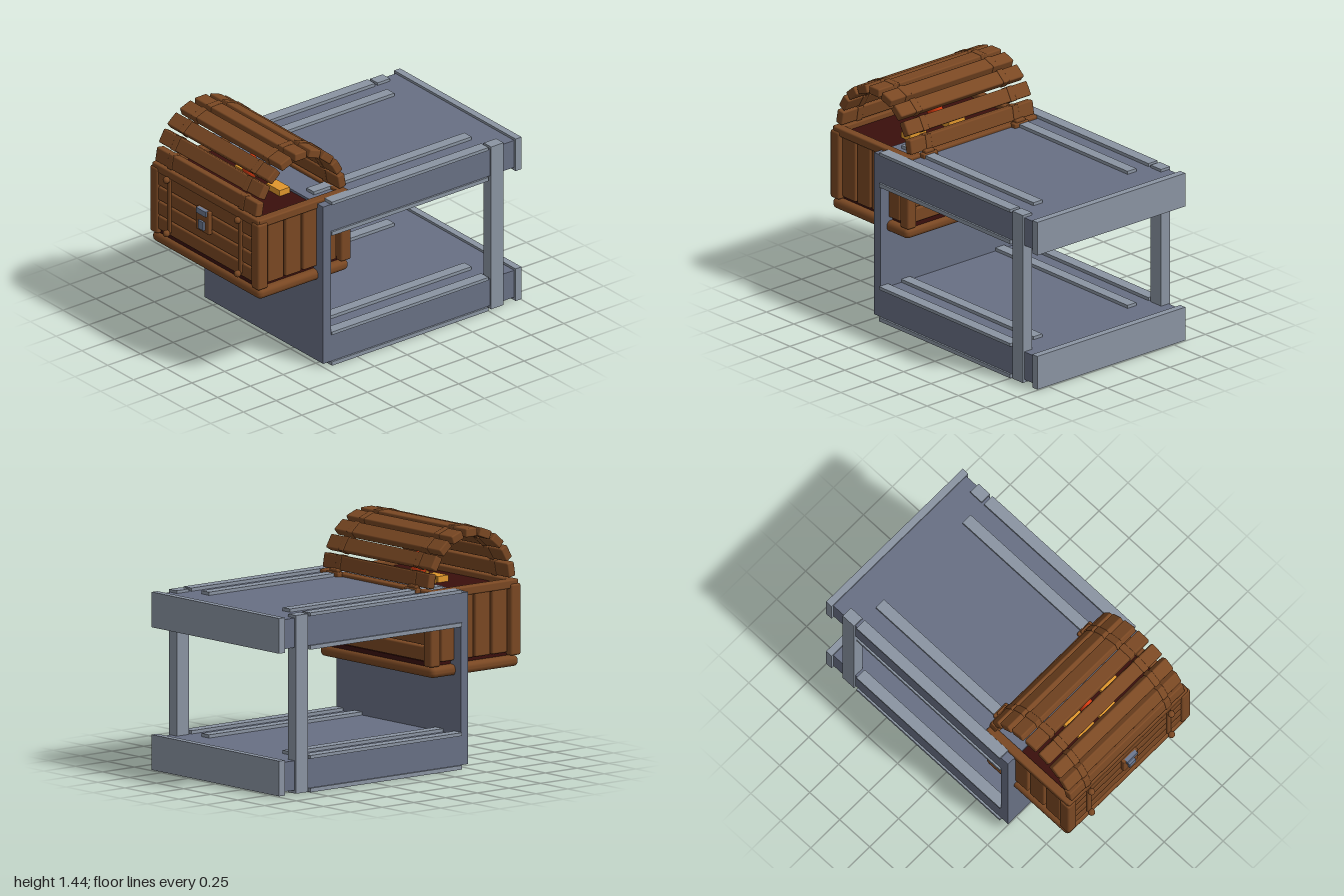
import * as THREE from 'three';
import { RoundedBoxGeometry } from 'three/addons/geometries/RoundedBoxGeometry.js';

const mat = (name, color) => new THREE.MeshStandardMaterial({ name, color });

export function createModel() {
  const M = {
    wood: mat('brown wood', 0x7a4823),
    deck: mat('slate blue', 0x687084),
    trim: mat('light grey', 0x8a94a2),
    dark: mat('dark maroon', 0x3a0f0c),
    metal: mat('lock steel', 0x6c7890),
    red: mat('red', 0xd83a10),
    gold: mat('gold', 0xe0962c),
  };
  const model = new THREE.Group();
  const stand = new THREE.Group();
  stand.name = 'stand';
  const chest = new THREE.Group();
  chest.name = 'chest';
  model.add(stand, chest);

  // Box given by its limits; r rounds the edges
  function box(parent, name, material, x0, x1, y0, y1, z0, z1, r = 0) {
    const w = x1 - x0, h = y1 - y0, d = z1 - z0;
    const geo = r ? new RoundedBoxGeometry(w, h, d, 2, r) : new THREE.BoxGeometry(w, h, d);
    const mesh = new THREE.Mesh(geo, material);
    mesh.name = name;
    mesh.position.set((x0 + x1) / 2, (y0 + y1) / 2, (z0 + z1) / 2);
    parent.add(mesh);
    return mesh;
  }
  // The same box on both sides
  function pair(parent, name, material, x0, x1, ...rest) {
    box(parent, name + 'Left', material, x0, x1, ...rest);
    box(parent, name + 'Right', material, -x1, -x0, ...rest);
  }

  // Two decks with trim strips above and below, and a bar across the back
  for (const [name, y] of [['lower', 0.03], ['upper', 0.9]]) {
    const top = y + 0.18;
    box(stand, name + 'Deck', M.deck, -0.575, 0.575, y, top, -0.955, 0.45);
    box(stand, name + 'BackBar', M.trim, -0.59, 0.59, y - 0.02, top + 0.015, -1, -0.955);
    for (const [a, b] of [[y - 0.025, y], [top, top + 0.02]]) {
      pair(stand, name + 'EdgeStrip', M.trim, 0.515, 0.587, a, b, -0.75, 0.445);
      pair(stand, name + 'DeckStrip', M.trim, 0.34, 0.41, a, b, -0.76, 0.445);
    }
  }
  pair(stand, 'backPost', M.trim, 0.515, 0.587, 0.01, 1.097, -0.865, -0.77);
  box(stand, 'frontPanel', M.deck, -0.575, 0.575, 0.03, 1.08, 0.445, 0.503);

  // Chest base and dark linings
  box(chest, 'base', M.wood, -0.525, 0.525, 0.568, 0.636, 0.262, 0.952, 0.03);
  box(chest, 'floor', M.dark, -0.48, 0.48, 0.634, 0.662, 0.28, 0.93);
  box(chest, 'mouth', M.dark, -0.475, 0.475, 1.05, 1.065, 0.29, 0.91);

  // Corner posts
  for (const [z0, z1] of [[0.25, 0.328], [0.884, 0.962]]) {
    pair(chest, 'cornerPost', M.wood, 0.455, 0.528, 0.637, 1.075, z0, z1, 0.014);
  }
  // Front and back planks, and the rim
  for (const z of [0.262, 0.898]) {
    for (let i = 0; i < 4; i++) {
      const y = 0.667 + i * 0.098;
      box(chest, 'wallPlank', M.wood, -0.47, 0.47, y, y + 0.09, z, z + 0.052, 0.01);
    }
    box(chest, 'rim', M.wood, -0.515, 0.515, 1.046, 1.1, z - 0.004, z + 0.056, 0.01);
  }
  pair(chest, 'sideRim', M.wood, 0.46, 0.518, 1.046, 1.1, 0.27, 0.945, 0.01);
  // Side planks
  for (let i = 0; i < 4; i++) {
    const z = 0.349 + i * 0.134;
    pair(chest, 'sidePlank', M.wood, 0.46, 0.51, 0.66, 1.05, z, z + 0.12, 0.01);
  }

  // Arched lid of nine planks, with straps
  for (let i = -4; i <= 4; i++) {
    const a = THREE.MathUtils.degToRad(i * 20);
    const plank = new THREE.Group();
    plank.name = 'lidPlank';
    plank.position.set(0, 1.1 + 0.318 * Math.cos(a), 0.605 + 0.318 * Math.sin(a));
    plank.rotation.x = a;
    box(plank, 'plank', M.wood, -0.49, 0.49, -0.027, 0.027, -0.045, 0.045, 0.009);
    pair(plank, 'strap', M.wood, 0.325, 0.37, -0.031, 0.031, -0.048, 0.048, 0.006);
    chest.add(plank);
  }

  // Front straps with round studs, and the hinges behind
  pair(chest, 'frontStrap', M.wood, 0.328, 0.362, 0.69, 1.05, 0.945, 0.964, 0.008);
  pair(chest, 'hinge', M.wood, 0.305, 0.42, 1.075, 1.108, 0.225, 0.27, 0.008);
  pair(chest, 'hingeKnuckle', M.wood, 0.325, 0.4, 1.09, 1.125, 0.235, 0.275, 0.008);
  for (const x of [-0.345, 0.345]) {
    for (const y of [0.69, 1.048]) {
      const stud = new THREE.Mesh(new THREE.SphereGeometry(0.022, 16, 10), M.wood);
      stud.name = 'stud';
      stud.position.set(x, y, 0.977);
      chest.add(stud);
    }
  }

  // Lock
  box(chest, 'lockPlate', M.wood, -0.063, 0.063, 0.835, 0.985, 0.945, 0.975, 0.006);
  box(chest, 'lockHasp', M.metal, -0.045, 0.045, 0.952, 0.987, 0.96, 0.986);
  box(chest, 'lockBody', M.metal, -0.026, 0.026, 0.855, 0.91, 0.96, 0.988);

  // Treasure
  const gem = new THREE.Mesh(new THREE.SphereGeometry(1, 24, 16), M.red);
  gem.name = 'redGem';
  gem.scale.set(0.045, 0.085, 0.052);
  gem.position.set(0, 1.158, 0.605);
  chest.add(gem);
  for (const [x, z] of [[-0.1, 0.56], [0.21, 0.56], [-0.095, 0.66], [0.085, 0.66]]) {
    box(chest, 'goldBar', M.gold, x - 0.065, x + 0.065, 1.064, 1.103, z - 0.04, z + 0.04);
  }
  return model;
}
